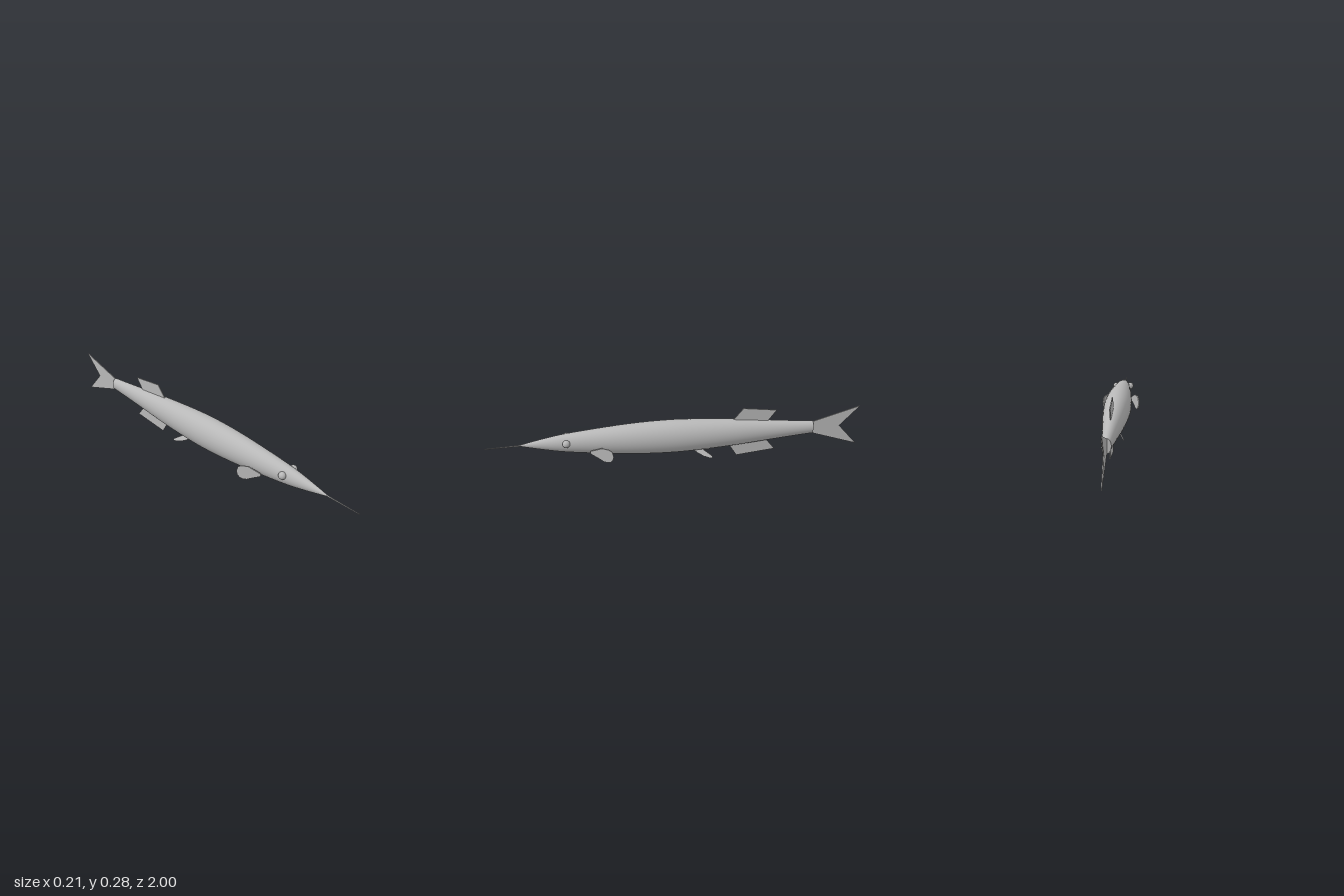
import * as THREE from 'three';

const MID = 0.143; // height of the body axis

export function createModel() {
  const fish = new THREE.Group();
  fish.name = 'longNosedFish';
  const skin = new THREE.MeshStandardMaterial({ color: 0xb8b8b8 });
  skin.name = 'grey skin';

  const add = (name, geometry) => {
    const mesh = new THREE.Mesh(geometry, skin);
    mesh.name = name;
    fish.add(mesh);
    return mesh;
  };

  // Thin fin from a (z, y) outline; offset(z, y) slants it sideways
  const addFin = (name, outline, thickness, offset) => {
    const shape = new THREE.Shape(outline.map(([z, y]) => new THREE.Vector2(z, y)));
    const geo = new THREE.ExtrudeGeometry(shape, { depth: thickness, bevelEnabled: false });
    geo.translate(0, 0, -thickness / 2).rotateY(-Math.PI / 2);
    if (offset) {
      const p = geo.attributes.position;
      for (let i = 0; i < p.count; i++) p.setX(i, p.getX(i) + offset(p.getZ(i), p.getY(i)));
      geo.computeVertexNormals();
    }
    return add(name, geo);
  };

  // Body: spindle lathed along z, narrower in x and most of all at the tail
  const profile = [
    [0.035, -0.745], [0.043, -0.65], [0.057, -0.5], [0.076, -0.3], [0.088, -0.1], [0.091, 0.05],
    [0.085, 0.22], [0.07, 0.4], [0.05, 0.58], [0.029, 0.7], [0.003, 0.82],
  ].map(([r, z]) => new THREE.Vector2(r, z));
  const body = new THREE.LatheGeometry(new THREE.SplineCurve(profile).getPoints(60), 48);
  body.rotateX(Math.PI / 2).scale(0.795, 1, 1);
  const bp = body.attributes.position;
  for (let i = 0; i < bp.count; i++) {
    const taper = THREE.MathUtils.clamp(-bp.getZ(i) / 0.745, 0, 1);
    bp.setX(i, bp.getX(i) * (1 - 0.2 * taper));
  }
  add('body', body).position.y = MID;

  // Flat end of the tail stem
  const cap = new THREE.CircleGeometry(0.035, 48).rotateY(Math.PI).scale(0.636, 1, 1);
  add('tailStemEnd', cap).position.set(0, MID, -0.745);

  // Needle snout, dipping slightly toward its tip
  const snout = new THREE.CylinderGeometry(0.002, 0.004, 0.2, 12).rotateX(Math.PI / 2);
  const snoutMesh = add('snout', snout);
  snoutMesh.position.set(0, 0.139, 0.9);
  snoutMesh.rotation.x = 0.04;

  // Fins on the centre line
  addFin('dorsalFin', [[-0.29, 0.195], [-0.36, 0.281], [-0.54, 0.26], [-0.485, 0.185]], 0.005);
  addFin('analFin', [[-0.28, 0.08], [-0.33, 0], [-0.54, 0.025], [-0.48, 0.1]], 0.005);
  addFin('tailFin', [[-0.735, 0.174], [-0.745, 0.177], [-1, 0.255], [-0.895, 0.142],
    [-1, 0.025], [-0.745, 0.107], [-0.735, 0.11]], 0.005);

  // Paired eyes and fins
  for (const [side, label] of [[1, 'left'], [-1, 'right']]) {
    const eye = add(label + 'Eye', new THREE.SphereGeometry(0.02, 24, 16));
    eye.scale.x = 0.95;
    eye.position.set(side * 0.042, 0.158, 0.577);

    addFin(label + 'PectoralFin', [
      [0.455, 0.1], [0.455, 0.115], [0.395, 0.141], [0.36, 0.137], [0.345, 0.127], [0.338, 0.1],
      [0.343, 0.08], [0.355, 0.066], [0.37, 0.061], [0.39, 0.064], [0.41, 0.076],
    ], 0.006, (z) => side * (0.06 + (0.445 - z) * 0.41));

    addFin(label + 'PelvicFin', [
      [-0.08, 0.066], [-0.14, 0.062], [-0.17, 0.042], [-0.19, 0.028], [-0.192, 0.02],
      [-0.175, 0.019], [-0.145, 0.027], [-0.115, 0.042],
    ], 0.006, (z, y) => side * (0.012 + (-0.09 - z) * 0.18 + (0.055 - y) * 0.45));
  }

  return fish;
}
